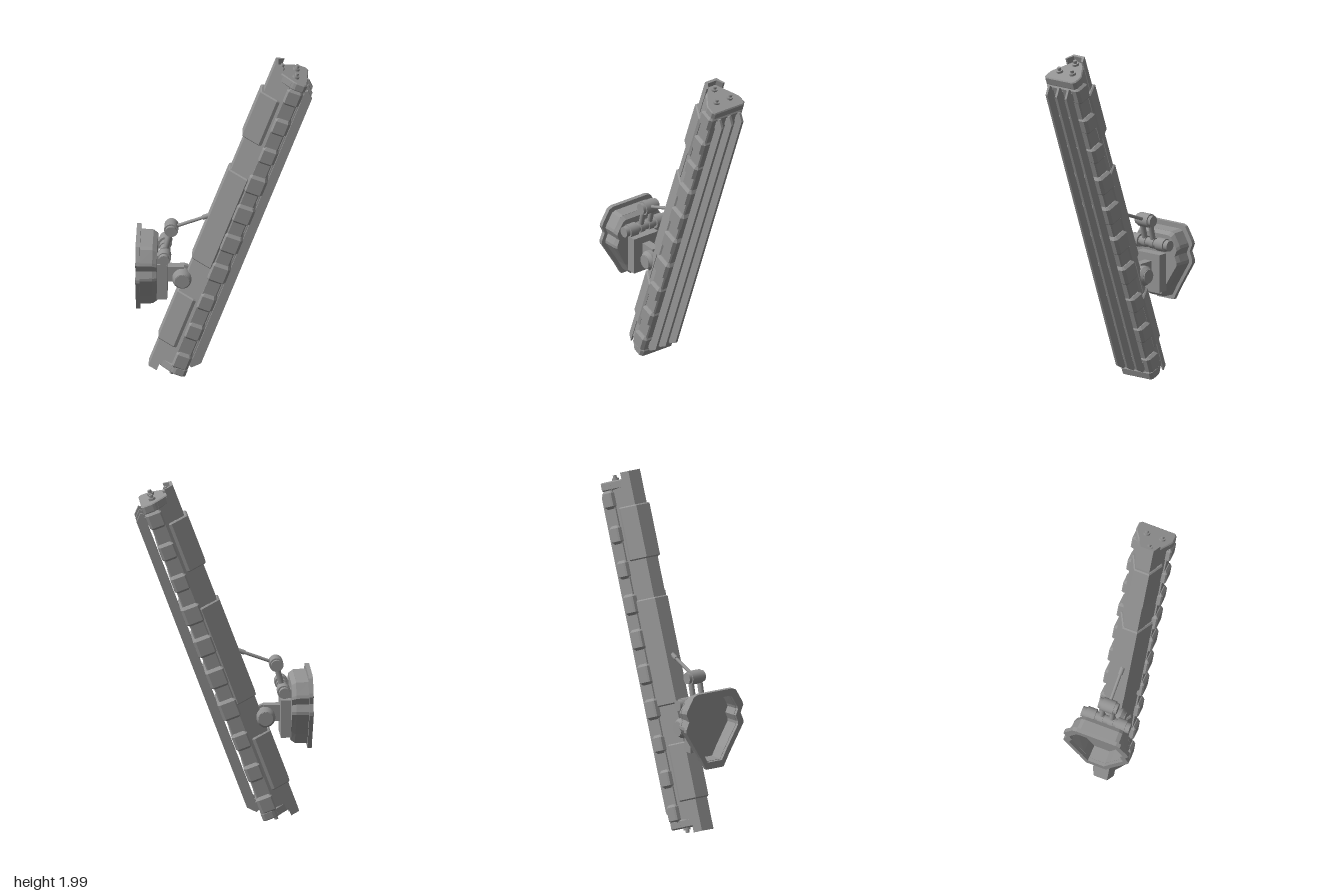
import * as THREE from 'three';

const GREY = 0x949494;
const material = new THREE.MeshStandardMaterial({ color: GREY, flatShading: true });
const smooth = new THREE.MeshStandardMaterial({ color: GREY });

function add(parent, name, geometry, mat = material) {
  const mesh = new THREE.Mesh(geometry, mat);
  mesh.name = name;
  parent.add(mesh);
  return mesh;
}

// Closed outline from one half, mirrored in the second coordinate
function mirroredOutline(half) {
  const pts = [...half, ...half.map(([a, b]) => [a, -b]).reverse()];
  return new THREE.Shape(pts.map(([a, b]) => new THREE.Vector2(a, b)));
}

// Section in (depth, width), swept along the beam from v0 to v1 with chamfered ends
function sweep(half, v0, v1, bevel = 0) {
  const g = new THREE.ExtrudeGeometry(mirroredOutline(half), {
    depth: v1 - v0 - 2 * bevel, bevelEnabled: bevel > 0, bevelThickness: bevel,
    bevelSize: bevel, bevelOffset: -bevel, bevelSegments: 1,
  });
  g.rotateX(-Math.PI / 2);
  g.translate(0, v0 + bevel, 0);
  return g;
}

// Cylinder along z
function pin(parent, name, x, y, z, r, length, sides = 20) {
  const g = new THREE.CylinderGeometry(r, r, length, sides).rotateX(Math.PI / 2);
  add(parent, name, g, smooth).position.set(x, y, z);
}

// Cylinder between two points
function rod(parent, name, a, b, r, sides = 12) {
  const p = new THREE.Vector3(...a), q = new THREE.Vector3(...b);
  const d = q.clone().sub(p);
  const m = add(parent, name, new THREE.CylinderGeometry(r, r, d.length(), sides), smooth);
  m.position.copy(p).add(q).multiplyScalar(0.5);
  m.quaternion.setFromUnitVectors(new THREE.Vector3(0, 1, 0), d.normalize());
}

function buildBeam() {
  const beam = new THREE.Group();
  beam.name = 'beam';
  beam.position.set(-0.43, 0.05, 0);
  beam.rotation.z = -0.3535;

  // Tapered back half and wider front half
  add(beam, 'beamBack', sweep([[0.004, 0.038], [0.118, 0.092]], 0.045, 2.03));
  add(beam, 'beamFront', sweep([[0.116, 0.1], [0.19, 0.1], [0.197, 0.093]], 0.045, 2.03));
  // Thin spine shell that overhangs both ends
  add(beam, 'spineShell', sweep(
    [[0.016, 0.03], [0.05, 0.052], [0.05, 0.064], [0, 0.04]], 0, 2.078));

  // Raised armour plates on the back
  add(beam, 'upperPlate', sweep([[-0.018, 0.046], [0.082, 0.092], [0.1, 0.088]], 1.575, 1.885, 0.007));
  add(beam, 'middlePlate', sweep([[-0.012, 0.044], [0.1, 0.098], [0.11, 0.092]], 0.735, 1.35, 0.007));
  add(beam, 'lowerPlate', sweep([[-0.012, 0.044], [0.082, 0.09], [0.1, 0.086]], 0.185, 0.515, 0.007));

  // Clamps around the front edges, larger beside the middle plate
  for (let i = 0; i < 10; i++) {
    const v = 0.127 + i * 0.2014;
    const big = i >= 3 && i <= 6 ? 0.007 : 0;
    add(beam, 'clamp', sweep([
      [0.112 - big, 0.085], [0.112 - big, 0.112], [0.12 - big, 0.12], [0.19 + big, 0.12],
      [0.205 + big, 0.104],
    ], v - 0.053 - big, v + 0.053 + big, 0.015));
  }

  // End caps
  const cap = [[0.012, 0.034], [0.13, 0.108], [0.145, 0.114], [0.192, 0.114], [0.208, 0.1]];
  add(beam, 'topCap', sweep(cap, 1.992, 2.042, 0.006));
  add(beam, 'bottomCap', sweep(cap, 0.036, 0.085, 0.006));

  // Three long fins with slanted ends
  const fin = new THREE.Shape([[0.213, 0.1], [0.226, 0.096], [0.267, 0.14], [0.264, 1.96],
    [0.226, 2.0], [0.213, 1.99]].map(p => new THREE.Vector2(...p)));
  for (const z of [-0.07, 0, 0.07]) {
    const g = new THREE.ExtrudeGeometry(fin, { depth: 0.014, bevelEnabled: false });
    add(beam, 'frontFin', g.translate(0, 0, z - 0.007));
    for (const v of [0.127, 1.94])
      add(beam, 'finFoot', new THREE.BoxGeometry(0.03, 0.05, 0.012)).position.set(0.208, v, z);
  }

  // Bolts on both ends
  for (const [v, dir] of [[2.04, 1], [0.038, -1]]) {
    for (const [u, z] of [[0.046, 0], [0.135, 0.047], [0.135, -0.047]]) {
      add(beam, 'boltNut', new THREE.CylinderGeometry(0.02, 0.02, 0.016, 12), smooth)
        .position.set(u, v + dir * 0.007, z);
      add(beam, 'boltTip', new THREE.CylinderGeometry(0.011, 0.011, 0.02, 12), smooth)
        .position.set(u, v + dir * 0.022, z);
    }
  }
  return beam;
}

// Wall mount outline, scaled about its centre
function mountOutline(s, Path = THREE.Shape) {
  const half = [[0.06, -0.224], [0.1, -0.15], [0.197, 0.01], [0.197, 0.03], [0.178, 0.075],
    [0.197, 0.12], [0.19, 0.14], [0.145, 0.215], [0.12, 0.225]];
  const pts = [...half, ...half.map(([z, y]) => [-z, y]).reverse()];
  return new Path(pts.map(([z, y]) => new THREE.Vector2(z * s, y * s)));
}

// Mount slab from x0 to x1, optionally hollow, tapering toward the beam
function mountSlab(s, hole, x0, x1, taperZ = 1, taperY = 1) {
  const shape = mountOutline(s);
  if (hole) shape.holes.push(mountOutline(hole, THREE.Path));
  const g = new THREE.ExtrudeGeometry(shape, { depth: x1 - x0, bevelEnabled: false });
  const p = g.attributes.position;
  for (let i = 0; i < p.count; i++) {
    if (p.getZ(i) > 0.001) p.setXY(i, p.getX(i) * taperZ, p.getY(i) * taperY);
  }
  g.rotateY(Math.PI / 2).translate(x0, 0.651, 0);
  g.computeVertexNormals();
  return g;
}

function buildMount() {
  const mount = new THREE.Group();
  mount.name = 'wallMount';

  // Hollow tray with a rim
  add(mount, 'mountRim', mountSlab(1, 0.82, -0.5, -0.476));
  add(mount, 'mountTray', mountSlab(0.88, 0.81, -0.48, -0.405, 0.97, 0.985));
  add(mount, 'mountFace', mountSlab(0.862, 0, -0.405, -0.38, 0.95, 0.91));
  add(mount, 'hingeBlock', new THREE.BoxGeometry(0.06, 0.22, 0.17)).position.set(-0.353, 0.61, 0);

  // Upper hinge barrel, stepped along z
  pin(mount, 'upperHingePin', -0.338, 0.78, 0, 0.026, 0.25);
  for (const s of [-1, 1]) {
    pin(mount, 'hingeKnuckle', -0.338, 0.78, s * 0.092, 0.038, 0.055);
    pin(mount, 'hingeEnd', -0.34, 0.78, s * 0.132, 0.031, 0.028);
    add(mount, 'hingeBracket', new THREE.BoxGeometry(0.06, 0.05, 0.045))
      .position.set(-0.375, 0.768, s * 0.092);
    // Link arms to the elbow
    rod(mount, 'linkArm', [-0.336, 0.78, s * 0.03], [-0.302, 0.915, s * 0.03], 0.016);
    pin(mount, 'linkCollar', -0.338, 0.78, s * 0.03, 0.032, 0.03);
  }

  // Elbow joint and brace rod to the beam
  pin(mount, 'elbowJoint', -0.302, 0.917, 0, 0.04, 0.075);
  pin(mount, 'elbowPin', -0.302, 0.917, 0, 0.032, 0.112);
  rod(mount, 'braceRod', [-0.302, 0.917, 0], [-0.09, 0.998, 0], 0.0095);
  rod(mount, 'braceSocket', [-0.125, 0.985, 0], [-0.085, 1.0, 0], 0.014);

  // Lower pivot joint
  add(mount, 'pivotArm', new THREE.BoxGeometry(0.1, 0.095, 0.05)).position.set(-0.28, 0.63, 0);
  pin(mount, 'pivotCore', -0.238, 0.61, 0, 0.04, 0.15);
  for (const s of [-1, 1]) {
    const g = new THREE.CylinderGeometry(0.042, 0.057, 0.02, 24).rotateX(s * Math.PI / 2);
    add(mount, 'pivotChamfer', g, smooth).position.set(-0.238, 0.61, s * 0.06);
    pin(mount, 'pivotDisc', -0.238, 0.61, s * 0.036, 0.057, 0.028, 24);
    add(mount, 'pivotLug', new THREE.BoxGeometry(0.09, 0.07, 0.028))
      .position.set(-0.195, 0.6, s * 0.036);
  }
  return mount;
}

export function createModel() {
  const model = new THREE.Group();
  model.name = 'mountedPanelArm';
  model.add(buildBeam(), buildMount());
  return model;
}
